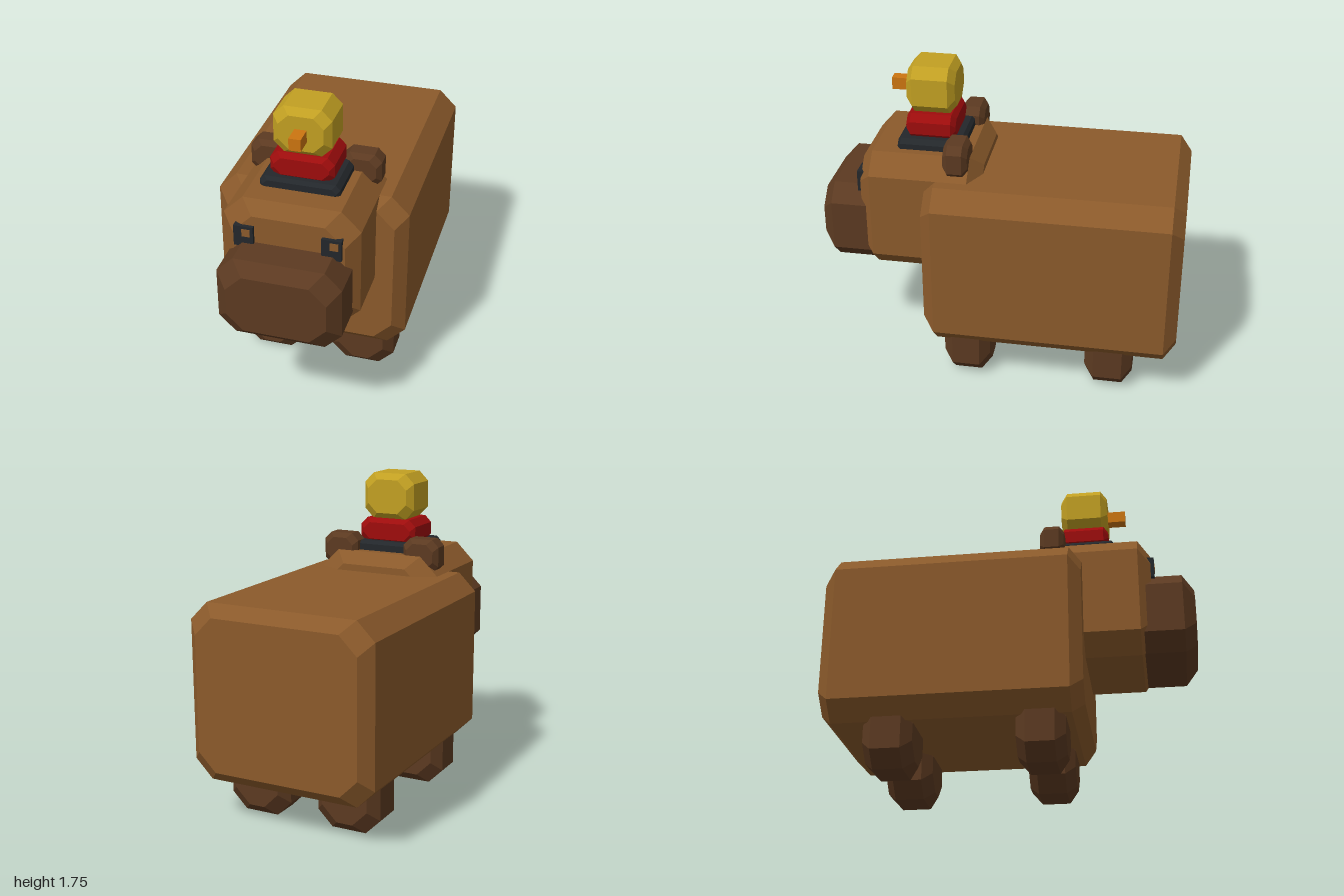
import * as THREE from 'three';
import { ConvexGeometry } from 'three/addons/geometries/ConvexGeometry.js';

const paint = (name, color) => {
  const m = new THREE.MeshStandardMaterial({ color });
  m.name = name;
  return m;
};

// Octagonal block between two corners: corners cut by c, front and back ends bevelled by b.
function block(x0, x1, y0, y1, z0, z1, c, b) {
  const hx = (x1 - x0) / 2, hy = (y1 - y0) / 2, hz = (z1 - z0) / 2;
  const points = [];
  for (const sx of [-1, 1]) for (const sy of [-1, 1]) for (const sz of [-1, 1]) {
    for (const [inset, z] of [[0, hz - b], [b, hz]]) {
      const w = hx - inset, h = hy - inset;
      points.push(new THREE.Vector3(sx * w, sy * (h - c), sz * z));
      points.push(new THREE.Vector3(sx * (w - c), sy * h, sz * z));
    }
  }
  const g = new ConvexGeometry(points);
  g.translate((x0 + x1) / 2, (y0 + y1) / 2, (z0 + z1) / 2);
  return g;
}

function box(x0, x1, y0, y1, z0, z1) {
  const g = new THREE.BoxGeometry(x1 - x0, y1 - y0, z1 - z0);
  g.translate((x0 + x1) / 2, (y0 + y1) / 2, (z0 + z1) / 2);
  return g;
}

export function createModel() {
  const brown = paint('brown fur', 0x8b5a2b);
  const dark = paint('dark brown', 0x5c3a21);
  const black = paint('charcoal', 0x23272b);
  const red = paint('red', 0x9e0c0c);
  const yellow = paint('yellow', 0xc2a022);
  const orange = paint('orange', 0xcc7510);

  const model = new THREE.Group();
  model.name = 'animalWithBird';
  const add = (name, geometry, material) => {
    const mesh = new THREE.Mesh(geometry, material);
    mesh.name = name;
    model.add(mesh);
  };

  // Main masses
  add('body', block(-0.53, 0.53, 0.24, 1.2, -1, 0.4, 0.1, 0.065), brown);
  add('head', block(-0.365, 0.365, 0.61, 1.305, 0.1, 0.77, 0.105, 0.067), brown);
  add('snout', block(-0.33, 0.33, 0.625, 1.085, 0.6, 1, 0.09, 0.065), dark);

  // Paired parts
  for (const [side, s] of [['left', 1], ['right', -1]]) {
    const span = (a, b) => (s > 0 ? [a, b] : [-b, -a]);
    const [lx0, lx1] = span(0.083, 0.45);
    add(side + 'FrontLeg', block(lx0, lx1, 0, 0.37, 0.04, 0.3, 0.085, 0.053), dark);
    add(side + 'BackLeg', block(lx0, lx1, 0, 0.37, -0.765, -0.5, 0.085, 0.053), dark);
    const [ex0, ex1] = span(0.145, 0.36);
    add(side + 'Ear', block(ex0, ex1, 1.21, 1.4, 0.167, 0.3, 0.04, 0.026), dark);
    const [x0, x1] = span(0.18, 0.285);
    add(side + 'Eye', box(x0, x1, 1.065, 1.183, 0.74, 0.79), black);
    // Both glints sit toward the same side
    const px = s * 0.2325 + 0.014;
    add(side + 'EyeGlint', box(px - 0.022, px + 0.022, 1.125, 1.168, 0.786, 0.793), brown);
  }

  // Bird perched on the head
  add('nestBand', block(-0.215, 0.215, 1.27, 1.36, 0.215, 0.577, 0.025, 0.018), black);
  add('birdBody', block(-0.172, 0.172, 1.34, 1.485, 0.265, 0.537, 0.038, 0.025), red);
  add('birdHead', block(-0.155, 0.155, 1.482, 1.745, 0.27, 0.535, 0.055, 0.035), yellow);
  add('beak', box(-0.032, 0.032, 1.573, 1.64, 0.5, 0.636), orange);

  return model;
}
